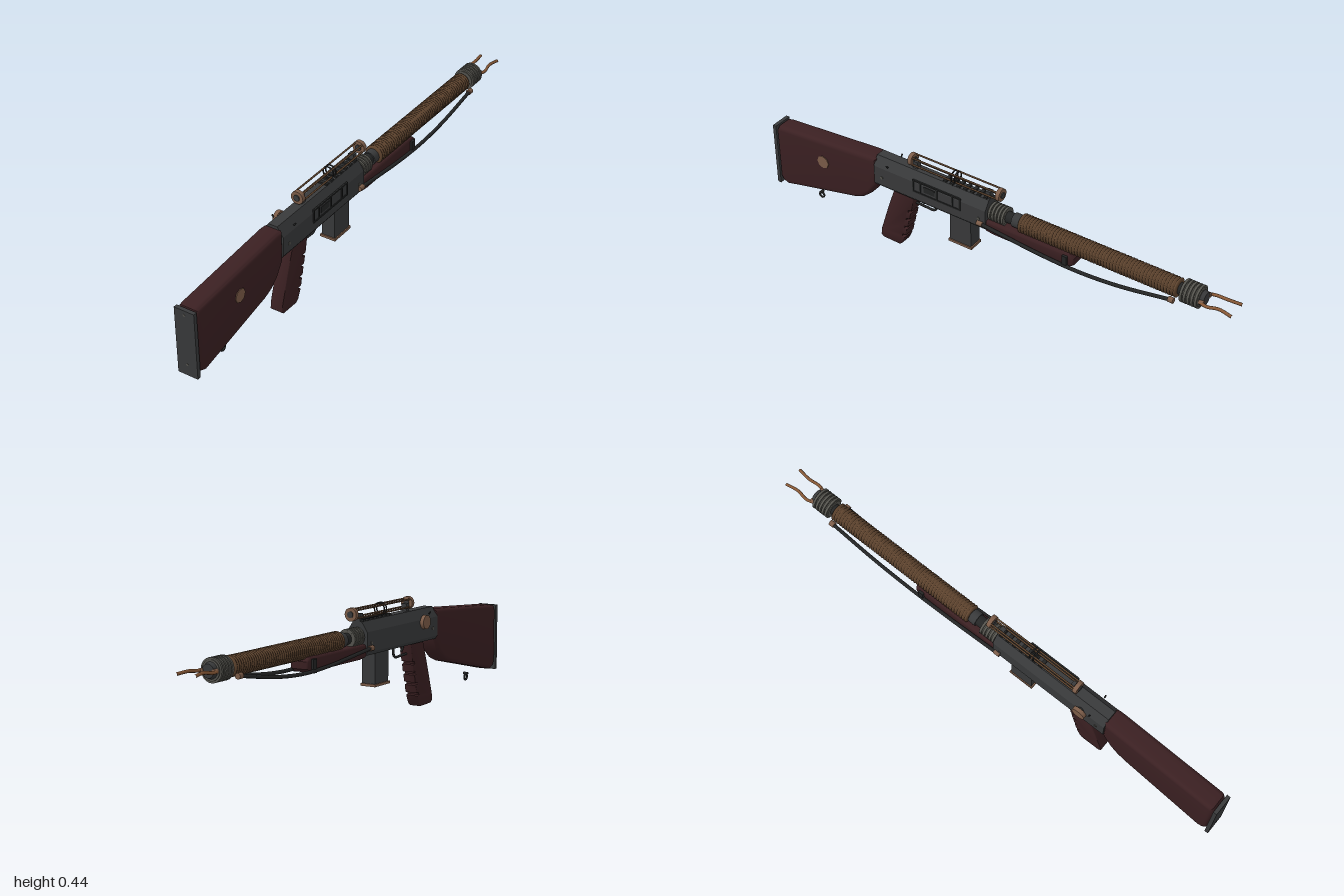
import * as THREE from 'three';
import { toCreasedNormals } from 'three/addons/utils/BufferGeometryUtils.js';

const mat = (name, color) => Object.assign(new THREE.MeshStandardMaterial({ color }), { name });

export function createModel() {
  const wood = mat('dark red wood', 0x3b2022);
  const metal = mat('gunmetal', 0x393a3b);
  const black = mat('black metal', 0x242525);
  const copper = mat('aged copper', 0x7d5d49);
  const coil = mat('coil wire', 0x60452f);
  const steel = mat('dull steel', 0x55544e);
  const prong = mat('bright copper', 0x875836);

  const model = new THREE.Group();
  model.name = 'coilRifle';
  const body = new THREE.Group();
  body.name = 'body';
  body.position.x = 0.002;
  model.add(body);

  const add = (name, geo, m, x = 0, y = 0, z = 0) => {
    const mesh = new THREE.Mesh(geo, m);
    mesh.name = name;
    mesh.position.set(x, y, z);
    body.add(mesh);
    return mesh;
  };
  const box = (name, m, w, h, d, x, y, z) => add(name, new THREE.BoxGeometry(w, h, d), m, x, y, z);
  const cylZ = (name, m, r, len, x, y, z, r2 = r, seg = 24) =>
    add(name, new THREE.CylinderGeometry(r2, r, len, seg).rotateX(-Math.PI / 2), m, x, y, z);
  const cylX = (name, m, r, len, x, y, z, seg = 24) =>
    add(name, new THREE.CylinderGeometry(r, r, len, seg).rotateZ(Math.PI / 2), m, x, y, z);
  const tube = (name, m, pts, r, seg = 32, sides = 8) =>
    add(name, new THREE.TubeGeometry(new THREE.CatmullRomCurve3(pts.map(p => new THREE.Vector3(...p))), seg, r, sides), m);

  // Side outline of [z, y] points, rounded and spread across x
  const side = (name, m, pts, halfWidth, bevel) => {
    const shape = new THREE.Shape(pts.map(([z, y]) => new THREE.Vector2(-z, y)));
    const geo = new THREE.ExtrudeGeometry(shape, {
      depth: 2 * (halfWidth - bevel), bevelSize: bevel, bevelThickness: bevel, bevelOffset: -bevel, bevelSegments: 4,
    });
    geo.translate(0, 0, bevel - halfWidth).rotateY(Math.PI / 2);
    return add(name, toCreasedNormals(geo, 0.7), m);
  };

  // Shoulder stock and butt plate
  side('stock', wood, [
    [0.5, 0.368], [0.53, 0.37], [0.96, 0.336], [0.977, 0.332], [0.985, 0.315], [0.985, 0.1], [0.975, 0.08], [0.95, 0.07],
    [0.61, 0.148], [0.57, 0.165], [0.535, 0.195], [0.5, 0.25],
  ], 0.041, 0.017);
  box('buttPlate', metal, 0.081, 0.268, 0.015, 0, 0.199, 0.992);
  for (const y of [0.11, 0.315]) cylZ('buttScrew', steel, 0.005, 0.002, 0, y, 0.9995, 0.005, 12);
  cylX('stockMedallion', copper, 0.027, 0.006, 0.041, 0.257, 0.755, 8);

  // Sling ring below the stock
  const ring = add('slingRing', new THREE.TorusGeometry(0.011, 0.004, 8, 20), black, 0, 0.054, 0.81);
  ring.rotation.y = Math.PI / 2;
  cylX('slingPin', black, 0.006, 0.018, 0, 0.069, 0.81, 12);

  // Receiver: chamfered box section drawn along z
  const section = new THREE.Shape([
    [-0.034, 0.255], [0.034, 0.255], [0.043, 0.268], [0.043, 0.343], [0.019, 0.38], [-0.019, 0.38], [-0.043, 0.343], [-0.043, 0.268],
  ].map(p => new THREE.Vector2(...p)));
  add('receiver', new THREE.ExtrudeGeometry(section, { depth: 0.505, bevelEnabled: false }), metal);

  // Framed panel on the left side
  for (const y of [0.303, 0.352]) box('panelRail', black, 0.006, 0.006, 0.215, 0.043, y, 0.217);
  for (const z of [0.112, 0.145, 0.215, 0.29, 0.322]) box('panelBar', black, 0.006, 0.05, 0.006, 0.043, 0.328, z);
  box('panelPlate', black, 0.004, 0.025, 0.05, 0.043, 0.328, 0.25);

  // Adjustment dial on the right side
  cylX('dial', copper, 0.027, 0.015, -0.051, 0.333, 0.4);
  cylX('dialBase', black, 0.02, 0.012, -0.042, 0.333, 0.4);
  for (const s of [-1, 1]) {
    const pin = cylX('receiverPin', black, 0.003, 0.012, s * 0.046, 0.364, 0.44, 8);
    pin.rotation.z = s * 0.9;
    for (const z of [0.03, 0.47]) cylX('receiverScrew', steel, 0.006, 0.004, s * 0.043, 0.3, z, 12);
  }

  // Cooling ridges on the receiver top
  for (let i = 0; i < 7; i++) box('topRidge', black, 0.04, 0.012, 0.014, 0, 0.381, 0.016 + i * 0.03);

  // Sighting tube: two discs joined by thin rods
  for (const z of [0.352, -0.038]) {
    cylZ('sightDisc', copper, 0.025, 0.016, 0, 0.41, z);
    cylZ('sightHub', metal, 0.012, 0.024, 0, 0.41, z);
  }
  for (const z of [0.335, 0.01]) box('sightPost', metal, 0.022, 0.034, 0.02, 0, 0.392, z);
  for (let i = 0; i < 4; i++) {
    const a = Math.PI / 4 + i * Math.PI / 2;
    cylZ('sightRod', coil, 0.0035, 0.39, 0.021 * Math.cos(a), 0.41 + 0.021 * Math.sin(a), 0.157, 0.0035, 8);
  }
  for (const z of [0.15, 0.165]) add('sightHoop', new THREE.TorusGeometry(0.022, 0.003, 6, 20), black, 0, 0.41, z);

  // Grip with finger grooves along its front edge
  const grip = [[0.425, 0.26], [0.458, 0.165], [0.497, 0.04], [0.5, 0.012], [0.49, 0.002], [0.412, 0], [0.4, 0.01]];
  for (let i = 0; i < 4; i++) {
    const y = 0.045 + i * 0.042, z = 0.395 - 0.25 * y;
    grip.push([z, y], [z + 0.012, y + 0.003], [z + 0.011, y + 0.01], [z - 0.004, y + 0.012]);
  }
  grip.push([0.34, 0.225], [0.335, 0.26]);
  side('grip', wood, grip, 0.0265, 0.005);

  // Trigger and guard
  tube('triggerGuard', black, [[0, 0.258, 0.25], [0, 0.225, 0.25], [0, 0.212, 0.262], [0, 0.212, 0.3], [0, 0.214, 0.345]], 0.005);
  tube('trigger', black, [[0, 0.258, 0.32], [0, 0.24, 0.316], [0, 0.225, 0.305]], 0.005, 10);

  // Magazine
  box('magazine', metal, 0.056, 0.125, 0.094, 0, 0.199, 0.122);
  box('magazineBase', copper, 0.064, 0.01, 0.104, 0, 0.133, 0.122);

  // Forearm under the barrel
  side('forearm', wood, [[0.005, 0.298], [0.005, 0.25], [-0.03, 0.245], [-0.355, 0.245], [-0.372, 0.258], [-0.372, 0.285], [-0.355, 0.3]], 0.038, 0.01);

  // Barrel core, finned collars and the wound coil
  const axis = 0.325;
  cylZ('barrelCore', black, 0.022, 0.87, 0, axis, -0.435);
  cylZ('rearSleeve', metal, 0.027, 0.03, 0, axis, -0.115);
  for (let i = 0; i < 5; i++) {
    cylZ('rearFin', steel, 0.036, 0.009, 0, axis, -0.01 - i * 0.014);
    cylZ('frontFin', steel, 0.043, 0.009, 0, axis, -0.802 - i * 0.0145);
  }
  cylZ('rearCollar', steel, 0.03, 0.07, 0, axis, -0.036);
  cylZ('frontCollar', steel, 0.036, 0.074, 0, axis, -0.831);
  const wound = [new THREE.Vector2(0.02, 0.132)], turns = 54;
  for (let i = 0; i < turns; i++) {
    const z = 0.132 + i * 0.012;
    for (const [r, dz] of [[0.031, 0], [0.036, 0.003], [0.037, 0.006], [0.036, 0.009]]) wound.push(new THREE.Vector2(r, z + dz));
  }
  wound.push(new THREE.Vector2(0.031, 0.78), new THREE.Vector2(0.02, 0.78));
  add('barrelCoil', new THREE.LatheGeometry(wound, 28).rotateX(-Math.PI / 2), coil, 0, axis, 0);
  cylZ('muzzle', metal, 0.03, 0.018, 0, axis, -0.874, 0.024);

  // Mirrored discharge prongs and power cables
  for (const s of [-1, 1]) {
    cylZ('prongSocket', copper, 0.009, 0.025, s * 0.026, axis, -0.873, 0.009, 12);
    tube('prong', prong, [
      [s * 0.026, 0.325, -0.865], [s * 0.036, 0.325, -0.9], [s * 0.031, 0.331, -0.945], [s * 0.038, 0.328, -0.998],
    ], 0.006);
    tube('cable', black, [
      [s * 0.046, 0.282, 0.02], [s * 0.046, 0.272, -0.08], [s * 0.045, 0.256, -0.24], [s * 0.044, 0.25, -0.4],
      [s * 0.044, 0.262, -0.56], [s * 0.042, 0.296, -0.765],
    ], 0.007, 48);
    cylZ('cableSocket', copper, 0.01, 0.024, s * 0.045, 0.282, 0.022, 0.01, 12);
    cylZ('cableTip', copper, 0.011, 0.02, s * 0.042, 0.297, -0.77, 0.011, 12);
    box('cableClip', black, 0.014, 0.05, 0.02, s * 0.04, 0.268, -0.34);
  }
  return model;
}
